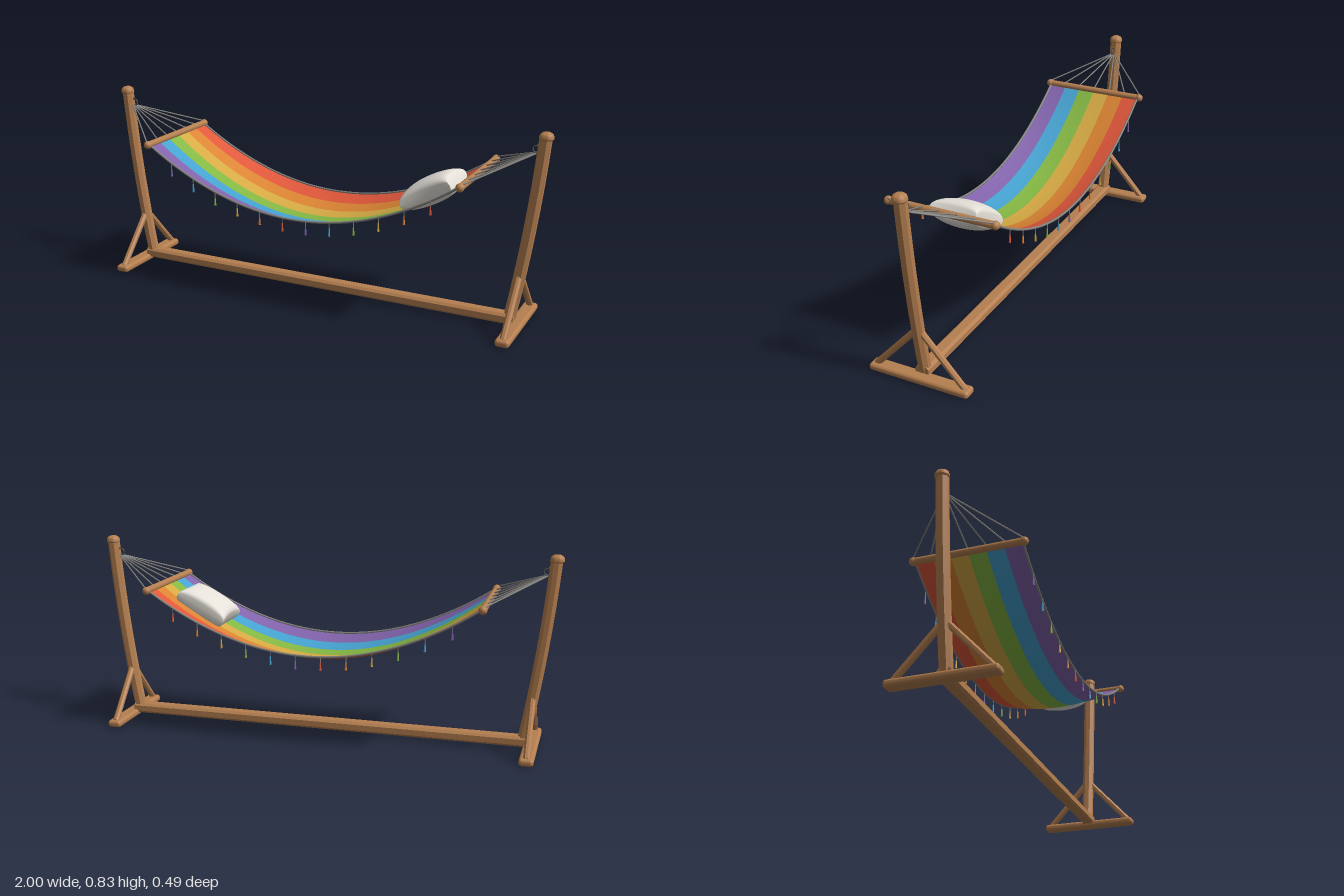
import * as THREE from 'three';
import { mergeVertices, toCreasedNormals } from 'three/addons/utils/BufferGeometryUtils.js';
import { RoundedBoxGeometry } from 'three/addons/geometries/RoundedBoxGeometry.js';

const HALF = 0.71;  // half length of the cloth
const WIDE = 0.22;  // half width of the cloth

// Height of the cloth: it hangs between the spreader bars and dips in the middle
function clothY(x, z) {
  const u = (x / HALF) ** 2, v = (z / WIDE) ** 2;
  return 0.39 + 0.24 * u - 0.045 * (1 - u) * (1 - v);
}

// Centre of the curved post at height y
function postX(y) {
  const t = (y - 0.04) / 0.76;
  return 0.868 + 0.14 * t - 0.04 * t * t;
}

// Apply a rule to every vertex
function reshape(geo, rule) {
  const p = geo.attributes.position, v = new THREE.Vector3();
  for (let i = 0; i < p.count; i++) {
    v.fromBufferAttribute(p, i);
    rule(v);
    p.setXYZ(i, v.x, v.y, v.z);
  }
  geo.computeVertexNormals();
  return geo;
}

export function createModel() {
  const model = new THREE.Group();
  model.name = 'hammock';

  const mat = (name, color, options = {}) => {
    const m = new THREE.MeshStandardMaterial({ color, ...options });
    m.name = name;
    return m;
  };
  const wood = mat('wood', 0xb57f50);
  const rope = mat('rope', 0x85837f);
  const metal = mat('metal', 0x555555);
  const linen = mat('linen', 0xe4e0d8);
  const stripes = [
    ['red', 0xe0573a], ['orange', 0xdb8433], ['yellow', 0xd6aa44],
    ['green', 0x84b743], ['blue', 0x45a2d0], ['purple', 0x8163ab],
  ].map(([n, c]) => mat(n, c, { side: THREE.DoubleSide }));

  const add = (name, geo, material, parent = model) => {
    const mesh = new THREE.Mesh(geo, material);
    mesh.name = name;
    parent.add(mesh);
    return mesh;
  };

  // Straight rod between two points; eight sides give a bevelled beam
  const rod = (name, a, b, radius, material, parent, sides = 8) => {
    const from = new THREE.Vector3(...a), to = new THREE.Vector3(...b);
    let geo = new THREE.CylinderGeometry(radius, radius, from.distanceTo(to), sides);
    geo.rotateY(Math.PI / sides);
    if (sides === 8) geo = toCreasedNormals(geo, 0.5);
    const mesh = add(name, geo, material, parent);
    mesh.position.copy(from).add(to).multiplyScalar(0.5);
    mesh.quaternion.setFromUnitVectors(new THREE.Vector3(0, 1, 0), to.sub(from).normalize());
    return mesh;
  };

  // Long base beam with bevelled edges
  const w = 0.029, h = 0.022, c = 0.01;
  const section = new THREE.Shape([
    [w, c - h], [w, h - c], [w - c, h], [c - w, h],
    [-w, h - c], [-w, c - h], [c - w, -h], [w - c, -h],
  ].map(([x, y]) => new THREE.Vector2(x, y)));
  const beam = new THREE.ExtrudeGeometry(section, { depth: 1.78, bevelEnabled: false });
  beam.translate(0, 0, -0.89).rotateY(Math.PI / 2);
  add('baseBeam', beam, wood).position.y = 0.037;

  // Both ends of the stand
  for (const s of [1, -1]) {
    const stand = new THREE.Group();
    stand.name = s > 0 ? 'leftStand' : 'rightStand';
    model.add(stand);

    add('foot', new RoundedBoxGeometry(0.06, 0.031, 0.434, 4, 0.013), wood, stand)
      .position.set(s * 0.9, 0.0155, 0);

    const post = new THREE.CylinderGeometry(0.026, 0.026, 0.77, 8, 8);
    post.rotateY(Math.PI / 8).translate(0, 0.415, 0);
    reshape(post, v => { v.x += s * postX(v.y); });
    add('post', toCreasedNormals(post, 0.5), wood, stand);

    const cap = new THREE.LatheGeometry([
      [0, 0], [0.025, 0], [0.029, 0.005], [0.029, 0.013],
      [0.025, 0.023], [0.015, 0.03], [0, 0.033],
    ].map(([x, y]) => new THREE.Vector2(x, y)), 24);
    add('postCap', toCreasedNormals(cap, 0.6), wood, stand).position.set(s * 0.97, 0.793, 0);

    for (const m of [1, -1]) {
      rod('brace', [s * 0.9, 0.025, m * 0.193], [s * 0.9, 0.226, m * 0.01], 0.014, wood, stand);
    }

    // Eye bolt and ring that carry the ropes
    rod('eyeBolt', [s * 0.96, 0.768, 0], [s * 0.937, 0.768, 0], 0.005, metal, stand, 10);
    const ring = add('ring', new THREE.TorusGeometry(0.014, 0.003, 8, 20), metal, stand);
    ring.position.set(s * 0.934, 0.753, 0);

    // Spreader bar with rounded knobs
    rod('spreaderBar', [s * HALF, 0.63, -0.225], [s * HALF, 0.63, 0.225], 0.0145, wood, stand, 20);
    for (const m of [1, -1]) {
      add('spreaderKnob', new THREE.SphereGeometry(0.0175, 20, 14), wood, stand)
        .position.set(s * HALF, 0.63, m * 0.228);
    }

    // Fan of ropes
    for (let i = -3; i <= 3; i++) {
      rod('fanRope', [s * 0.935, 0.738, i * 0.004], [s * 0.715, 0.641, i * 0.076],
        0.0032, rope, stand, 6);
    }
  }

  // Striped cloth
  const cloth = new THREE.Group();
  cloth.name = 'cloth';
  model.add(cloth);
  const band = 2 * WIDE / stripes.length;
  stripes.forEach((material, i) => {
    const geo = new THREE.PlaneGeometry(2 * HALF, band, 48, 4);
    geo.rotateX(-Math.PI / 2).translate(0, 0, -WIDE + band * (i + 0.5));
    reshape(geo, v => { v.y = clothY(v.x, v.z); });
    add(material.name + 'Stripe', geo, material, cloth);
  });

  // Edge ropes and hanging tassels
  for (const m of [1, -1]) {
    const points = [];
    for (let i = 0; i <= 16; i++) {
      const x = HALF * (i / 8 - 1);
      points.push(new THREE.Vector3(x, clothY(x, WIDE) + 0.002, m * (WIDE + 0.001)));
    }
    const curve = new THREE.CatmullRomCurve3(points);
    add('edgeRope', new THREE.TubeGeometry(curve, 64, 0.005, 8), rope, cloth);

    for (let i = 0; i < 12; i++) {
      const x = (i - 5.5) * 0.108, y = clothY(x, WIDE), z = m * 0.225;
      const tassel = new THREE.Group();
      tassel.name = 'tassel';
      tassel.position.set(x, y, z);
      cloth.add(tassel);
      rod('tasselCord', [0, 0, 0], [0, -0.022, 0], 0.002, rope, tassel, 6);
      add('tasselFringe', new THREE.CylinderGeometry(0.0025, 0.005, 0.036, 8),
        stripes[(11 - i) % 6], tassel).position.y = -0.037;
    }
  }

  // Pillow with pinched sides, lying along the slope of the cloth
  let pillow = new THREE.BoxGeometry(2, 2, 2, 24, 1, 24);
  pillow.deleteAttribute('normal');
  pillow.deleteAttribute('uv');
  pillow = mergeVertices(pillow);
  reshape(pillow, v => {
    const a = v.x * Math.PI / 2, b = v.z * Math.PI / 2;
    const u = Math.sin(a), t = Math.sin(b);
    const puff = Math.pow(Math.max(0, Math.cos(a) * Math.cos(b)), 0.5);
    v.set(
      0.118 * u * (1 - 0.07 * (1 - t * t)),
      v.y * (0.003 + 0.054 * puff),
      0.102 * t * (1 - 0.07 * (1 - u * u)),
    );
  });
  const cushion = add('pillow', pillow, linen);
  cushion.position.set(0.522, 0.536, 0);
  cushion.rotation.z = 0.5;

  return model;
}
